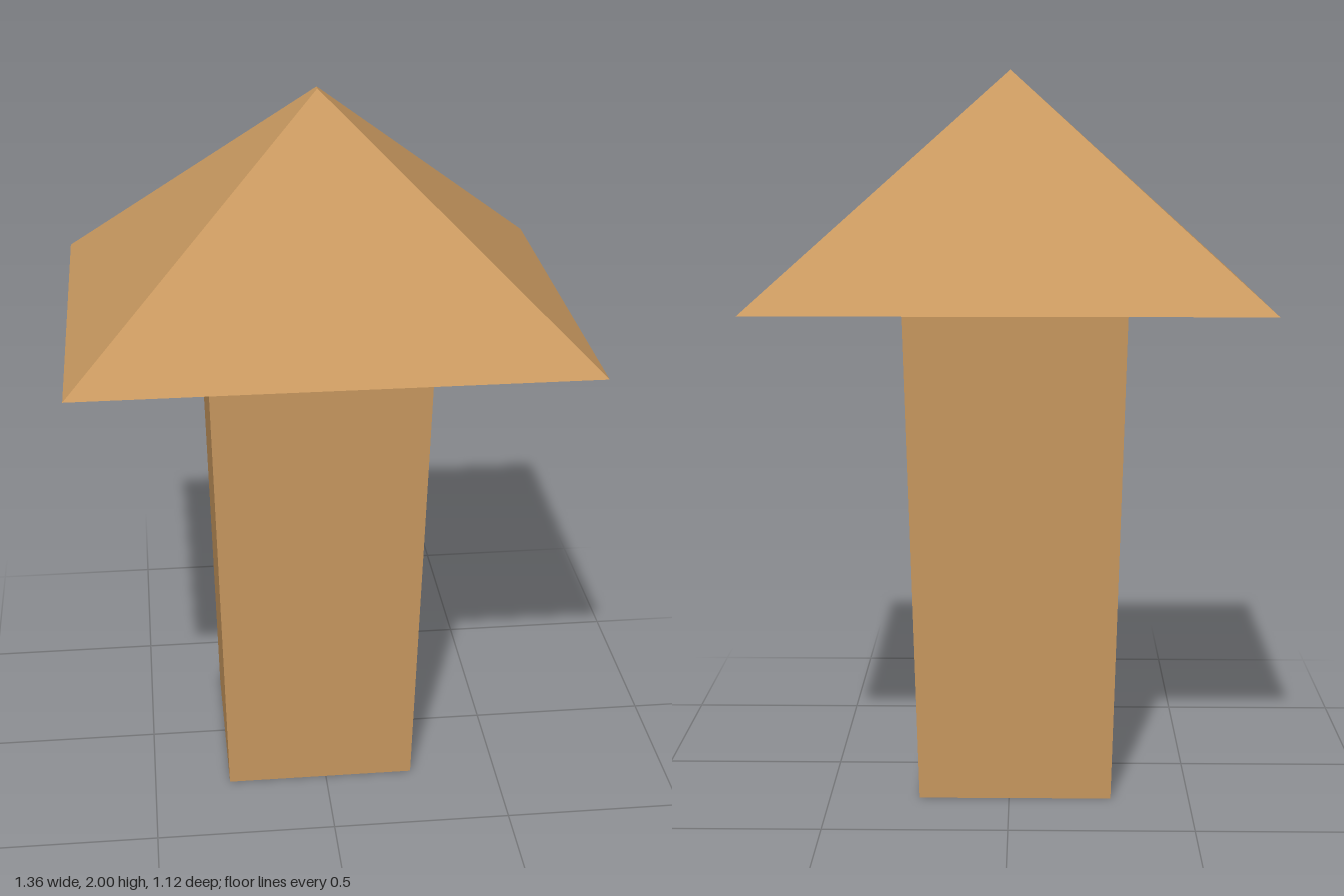
import * as THREE from 'three';

const wood = new THREE.MeshStandardMaterial({ color: 0xc8985f });
wood.name = 'wood';

// Box whose bottom and top have their own half sizes [x, z]
function taperedBox(name, y0, y1, bottom, top) {
  const box = new THREE.BoxGeometry(2, 2, 2);
  const p = box.attributes.position;
  for (let i = 0; i < p.count; i++) {
    const up = p.getY(i) > 0;
    const [hx, hz] = up ? top : bottom;
    p.setXYZ(i, p.getX(i) * hx, up ? y1 : y0, p.getZ(i) * hz);
  }
  const geometry = box.toNonIndexed();
  geometry.computeVertexNormals();
  const mesh = new THREE.Mesh(geometry, wood);
  mesh.name = name;
  return mesh;
}

export function createModel() {
  const model = new THREE.Group();
  model.name = 'roofedPost';

  // Post widens slightly towards the top and sits a little off centre
  const post = taperedBox('post', 0, 1.387, [0.267, 0.267], [0.301, 0.301]);
  post.position.set(-0.016, 0, -0.006);

  // Hipped roof closing to a very short ridge along z
  const roof = taperedBox('roof', 1.387, 2, [0.682, 0.56], [0, 0.01]);

  model.add(post, roof);
  return model;
}
